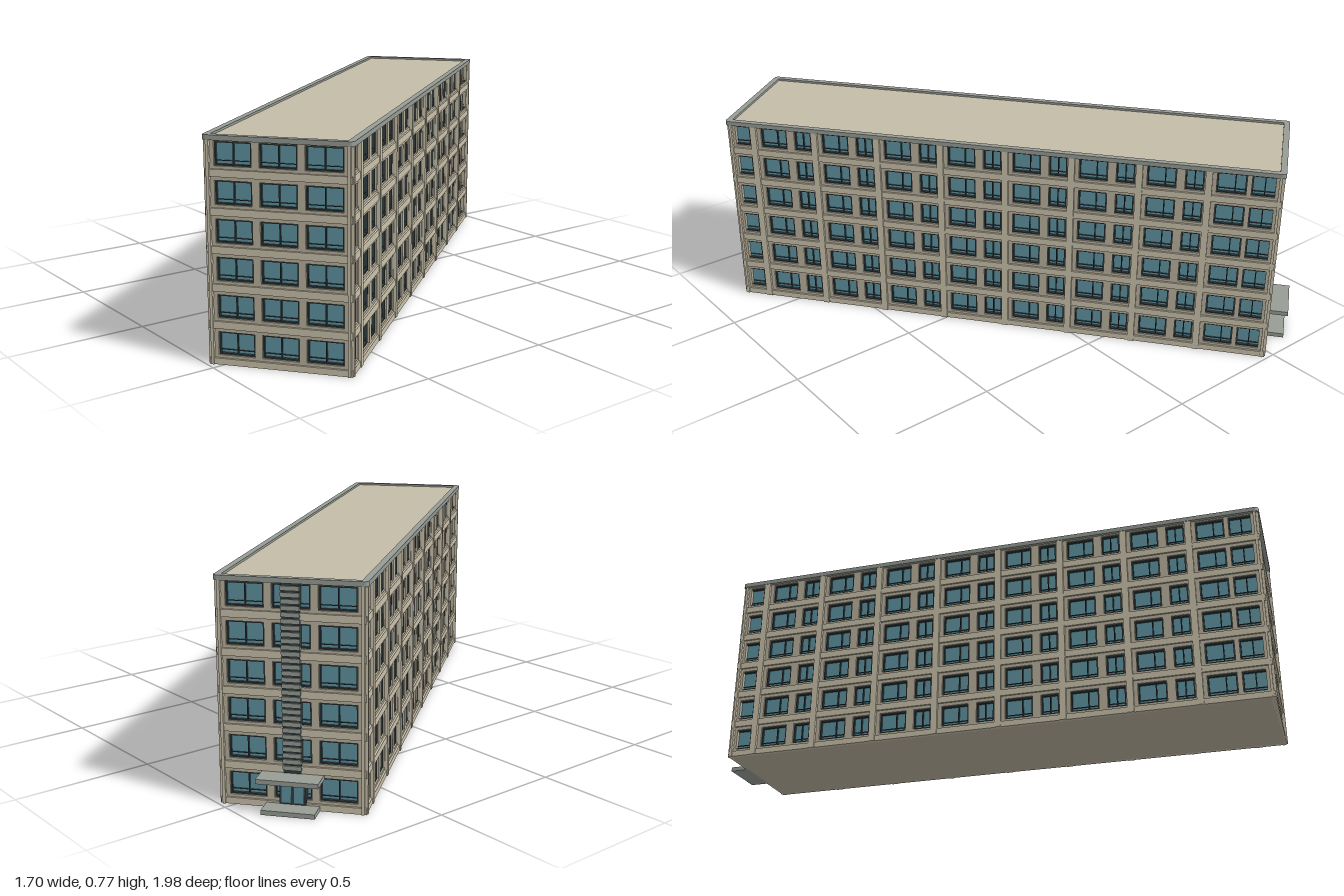
import * as THREE from 'three';
import { mergeGeometries } from 'three/addons/utils/BufferGeometryUtils.js';

const mat = (name, color) => Object.assign(new THREE.MeshStandardMaterial({ color }), { name });

const L = 1.055, W = 0.238;            // half length and half width of the walls
const FLOORS = 6, STOREY = 0.1276, WALL_TOP = 0.758, TOP = 0.772;
const SILL = 0.032, WIN_H = 0.08, RECESS = 0.016;

// Box from its minimum and maximum corners
function box(x0, x1, y0, y1, z0, z1) {
  return new THREE.BoxGeometry(x1 - x0, y1 - y0, z1 - z0)
    .translate((x0 + x1) / 2, (y0 + y1) / 2, (z0 + z1) / 2);
}

function rectPath(Type, x0, x1, y0, y1) {
  return new Type([[x0, y0], [x1, y0], [x1, y1], [x0, y1]].map(p => new THREE.Vector2(...p)));
}

// Rectangle outline with rounded corners, centred
function roundedRect(Type, a, b, r) {
  const pts = [];
  [[1, 1], [-1, 1], [-1, -1], [1, -1]].forEach(([sx, sy], q) => {
    for (let i = 0; i <= 3; i++) {
      const t = (q + i / 3) * Math.PI / 2;
      pts.push(new THREE.Vector2(sx * (a - r) + r * Math.cos(t), sy * (b - r) + r * Math.sin(t)));
    }
  });
  return new Type(pts);
}

export function createModel() {
  const m = {
    wall: mat('wall concrete', 0xb9b19d),
    trim: mat('light concrete trim', 0xcbc2ac),
    roof: mat('roof', 0xc4bca8),
    rim: mat('grey parapet', 0x979c95),
    glass: mat('window glass', 0x5f93a0),
    frame: mat('dark window frame', 0x323d40),
  };
  const building = new THREE.Group();
  building.name = 'building';
  const add = (parent, name, parts, material) => {
    const mesh = new THREE.Mesh(Array.isArray(parts) ? mergeGeometries(parts) : parts, material);
    mesh.name = name;
    parent.add(mesh);
    return mesh;
  };

  // One outside wall in its own x-y plane, facing +z.
  // windows: [left, right, mullion fractions], pilasters: [centre, width]
  function facade(name, half, distance, angle, windows, pilasters) {
    const g = new THREE.Group();
    g.name = name;
    const shape = rectPath(THREE.Shape, -half, half, 0, WALL_TOP);
    const glass = [], frames = [], ledges = [];
    for (let i = 0; i < FLOORS; i++) {
      const y0 = SILL + i * STOREY, y1 = y0 + WIN_H;
      for (const [a, b, mullions] of windows) {
        shape.holes.push(rectPath(THREE.Path, a, b, y0, y1));
        glass.push(new THREE.PlaneGeometry(b - a, WIN_H).translate((a + b) / 2, (y0 + y1) / 2, -RECESS));
        const t = 0.005, z0 = -RECESS, z1 = -0.006;
        frames.push(box(a, a + t, y0, y1, z0, z1), box(b - t, b, y0, y1, z0, z1),
          box(a, b, y0, y0 + t, z0, z1), box(a, b, y1 - t, y1, z0, z1),
          box(a, b, y0 + 0.015, y0 + 0.017, z0, -0.011));
        for (const f of mullions) {
          const x = a + (b - a) * f;
          frames.push(box(x - 0.002, x + 0.002, y0, y1, z0, -0.009));
        }
      }
      // Floor ledge, or plinth at the ground
      const e = half + 0.007;
      ledges.push(i ? box(-e, e, i * STOREY - 0.003, i * STOREY + 0.022, -0.01, 0.007)
        : box(-e, e, 0, 0.022, -0.01, 0.007));
    }
    add(g, 'wallPanel', new THREE.ExtrudeGeometry(shape, { depth: 0.02, bevelEnabled: false })
      .translate(0, 0, -0.02), m.wall);
    add(g, 'windowGlass', glass, m.glass);
    add(g, 'windowFrames', frames, m.frame);
    add(g, 'floorLedges', ledges, m.trim);
    add(g, 'pilasters', pilasters.map(([x, w]) =>
      box(x - w / 2, x + w / 2, 0, WALL_TOP, -0.01, 0.011)), m.trim);
    g.rotation.y = angle;
    g.position.set(Math.sin(angle) * distance, 0, Math.cos(angle) * distance);
    building.add(g);
    return g;
  }

  // Long sides: a half bay, seven regular bays and a wider last bay
  const longWindows = [[-L + 0.012, -L + 0.08, []]];
  const longPilasters = [[L - 0.004, 0.01], [-L + 0.004, 0.01]];
  for (let k = 0; k < 8; k++) {
    const x = -L + 0.098 + 0.251 * k, last = k === 7;
    longPilasters.push([x, 0.025]);
    longWindows.push([x + 0.028, x + 0.134, [0.62]],
      last ? [x + 0.152, x + 0.245, [0.5]] : [x + 0.166, x + 0.234, [0.5]]);
  }
  facade('longSideLeft', L, W, 0, longWindows, longPilasters);
  facade('longSideRight', L, W, Math.PI, longWindows, longPilasters);

  // Short ends: three windows per floor
  const endWindows = [-0.152, 0, 0.152].map(x => [x - 0.063, x + 0.063, [0.5]]);
  const endPilasters = [[-W + 0.004, 0.01], [W - 0.004, 0.01]];
  facade('plainEnd', W, L, Math.PI / 2, endWindows, endPilasters);
  const entrance = facade('entranceEnd', W, L, -Math.PI / 2, endWindows, endPilasters);

  // Stair strip with stacked ribs above the entrance
  add(entrance, 'stairStrip', box(-0.03, 0.03, 0.11, WALL_TOP, -0.015, 0.008), m.frame);
  const ribs = [];
  for (let y = 0.135; y < 0.745; y += 0.0213) ribs.push(box(-0.031, 0.031, y, y + 0.015, 0, 0.013));
  add(entrance, 'stairRibs', ribs, m.rim);

  // Door, canopy and step
  add(entrance, 'door', box(-0.045, 0.045, 0.015, 0.105, -0.015, 0.009), m.frame);
  add(entrance, 'doorGlass', [-1, 1].map(s =>
    box(s * 0.021 - 0.016, s * 0.021 + 0.016, 0.022, 0.095, 0, 0.011)), m.glass);
  add(entrance, 'canopy', box(-0.104, 0.104, 0.108, 0.124, 0, 0.082), m.rim);
  add(entrance, 'step', box(-0.09, 0.09, 0, 0.016, 0, 0.075), m.rim);

  // Solid core behind the walls, flat roof and raised parapet
  add(building, 'core', box(-L + 0.019, L - 0.019, 0, WALL_TOP, -W + 0.019, W - 0.019), m.wall);
  add(building, 'roof', box(-L, L, WALL_TOP - 0.004, 0.764, -W, W), m.roof);
  const rim = roundedRect(THREE.Shape, L + 0.014, W + 0.013, 0.014);
  rim.holes.push(roundedRect(THREE.Path, L - 0.009, W - 0.01, 0.004));
  add(building, 'parapet', new THREE.ExtrudeGeometry(rim, { depth: TOP - 0.755, bevelEnabled: false })
    .rotateX(-Math.PI / 2).translate(0, 0.755, 0), m.rim);

  // The block stands diagonally on its plot
  building.rotation.y = -0.908;
  const model = new THREE.Group();
  model.name = 'apartmentBlock';
  model.add(building);
  return model;
}
